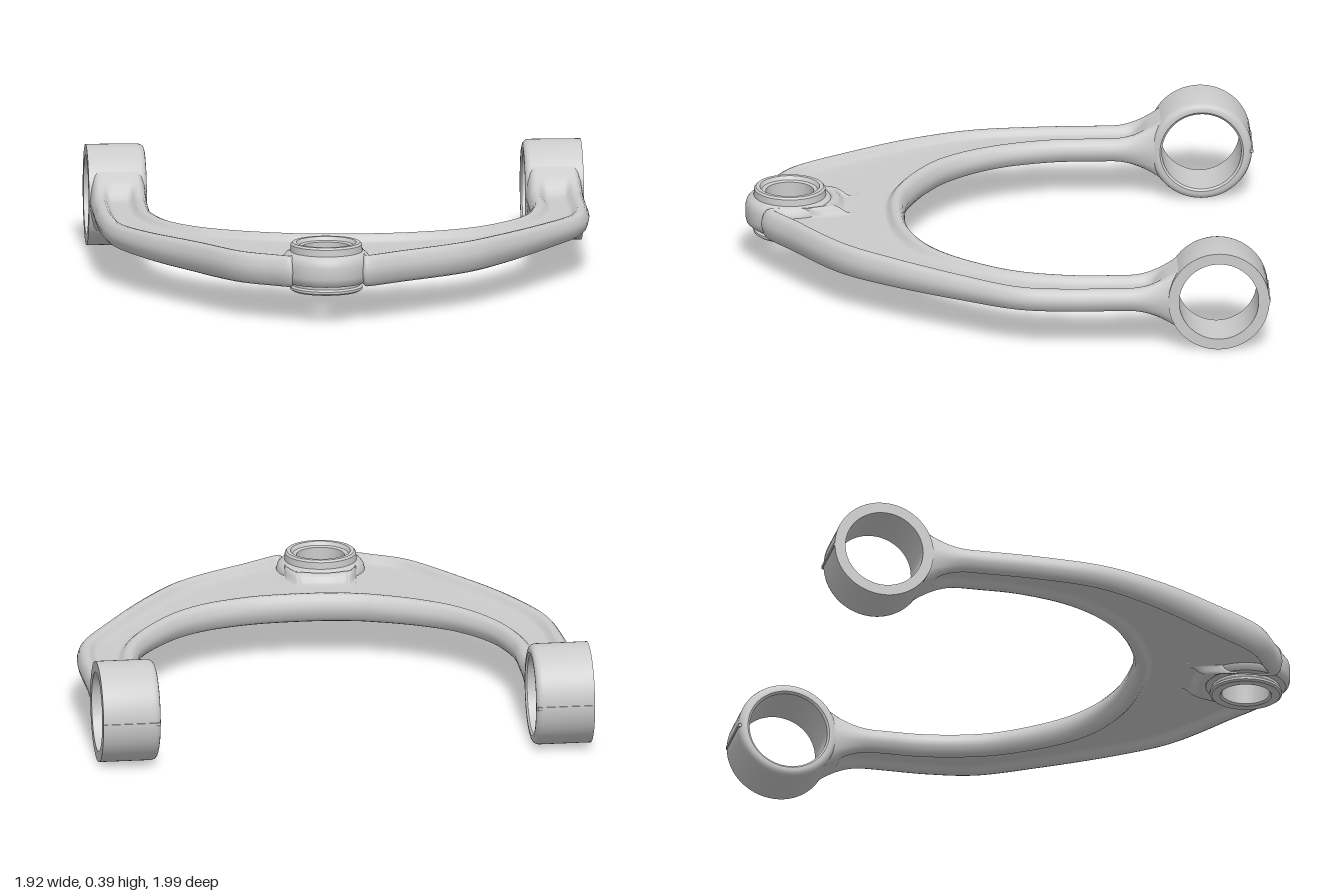
import * as THREE from 'three';
import { toCreasedNormals } from 'three/addons/utils/BufferGeometryUtils.js';

const { smoothstep, lerp } = THREE.MathUtils;
const MID = 0.196;                       // height of the arm's parting plane
const BUSH = { z: -0.8, r: 0.196, bore: 0.154 };
const JOINT = { x: -0.13, z: 0.82 };

// Paired plan points along the U: outer x, outer z, inner x, inner z.
// The outer edge dips around the joint housing so its bore stays open.
const plan = [
  [-0.957, -0.67, -0.735, -0.67], [-0.957, -0.4, -0.738, -0.4],
  [-0.955, -0.18, -0.733, -0.22], [-0.925, 0.08, -0.67, 0],
  [-0.82, 0.32, -0.55, 0.17], [-0.65, 0.58, -0.42, 0.265],
  [-0.48, 0.81, -0.32, 0.315], [-0.36, 0.89, -0.27, 0.335],
  [-0.27, 0.93, -0.23, 0.35], [-0.27, 0.82, -0.2, 0.358],
  [-0.23, 0.72, -0.16, 0.366], [-0.13, 0.68, -0.1, 0.375],
  [-0.03, 0.72, -0.03, 0.378], [0.01, 0.82, 0.03, 0.378],
  [0.01, 0.935, 0.1, 0.375], [0.2, 0.83, 0.2, 0.362],
  [0.45, 0.66, 0.36, 0.31], [0.6, 0.49, 0.48, 0.23],
  [0.8, 0.2, 0.6, 0.09], [0.925, -0.02, 0.68, -0.05],
  [0.955, -0.2, 0.73, -0.25], [0.957, -0.4, 0.735, -0.42],
  [0.957, -0.67, 0.735, -0.67],
];

// Rim section: distance from the edge, height fraction, share of pocket depth
const rim = [
  [0, 0, 0], [0.003, 0.3, 0], [0.009, 0.65, 0], [0.019, 0.9, 0], [0.032, 1, 0],
  [0.046, 1, 0.06], [0.056, 1, 0.35], [0.066, 1, 0.8], [0.077, 1, 1],
];

// Half thickness: thicker at the front, flaring into the bushings at the back
function halfHeight(z) {
  const flare = Math.max(0, (-0.45 - z) / 0.19);
  return 0.045 + 0.016 * smoothstep(z, -0.1, 0.7) + 0.07 * Math.min(flare, 1.1) ** 2;
}

function armGeometry() {
  const curve = (i) => new THREE.CatmullRomCurve3(
    plan.map((p) => new THREE.Vector3(p[i], 0, p[i + 1])));
  const outer = curve(0), inner = curve(2);
  const steps = 264, pos = [], index = [];

  // Distance along the cross line that gives a rim of even width
  const stretch = (c, t, dir) => {
    const tan = c.getTangent(t);
    return 1 / Math.max(0.5, Math.abs(tan.x * dir.z - tan.z * dir.x));
  };

  const half = [
    ...rim.map((r) => [...r, 0]),
    [0, 1, 1, 0.33], [0, 1, 1, 0.67],      // flat web between the rims
    ...[...rim].reverse().map((r) => [...r, 1]),
  ];
  const section = [
    ...half.map((s) => [...s, 1]),
    ...half.slice(1, -1).reverse().map((s) => [...s, -1]),
  ];
  const n = section.length;

  for (let k = 0; k <= steps; k++) {
    const t = k / steps;
    const o = outer.getPoint(t), i = inner.getPoint(t);
    const dir = i.clone().sub(o);
    const width = dir.length();
    dir.normalize();
    const so = stretch(outer, t, dir), si = stretch(inner, t, dir);
    for (const [d, e, p, side, sign] of section) {
      const a = 0.077 * so, b = width - 0.077 * si;
      const along = side === 0 ? d * so : side === 1 ? width - d * si : lerp(a, b, side);
      const x = o.x + dir.x * along;
      let z = o.z + dir.z * along;
      const depth = 0.56 * smoothstep(z, -0.59, -0.53);
      const y = MID + 0.004 * smoothstep(z, 0, 0.6) + sign * halfHeight(z) * (e - p * depth);
      // Keep the arm's ends inside the wall of the bushing rings
      const q = 0.176 ** 2 - (y - MID) ** 2;
      if (q > 0) z = Math.max(z, BUSH.z + Math.sqrt(q));
      pos.push(x, y, z);
    }
  }
  for (let k = 0; k < steps; k++) {
    for (let j = 0; j < n; j++) {
      const a = k * n + j, b = k * n + (j + 1) % n, c = a + n, d = b + n;
      index.push(a, c, b, b, c, d);
    }
  }
  const geo = new THREE.BufferGeometry();
  geo.setAttribute('position', new THREE.Float32BufferAttribute(pos, 3));
  geo.setIndex(index);
  geo.computeVertexNormals();
  return geo;
}

// Closed ring turned from [radius, height] points
function turned(points) {
  const pts = [...points, points[0]].map(([r, y]) => new THREE.Vector2(r, y));
  return toCreasedNormals(new THREE.LatheGeometry(pts, 72), 0.6);
}

export function createModel() {
  const group = new THREE.Group();
  const material = new THREE.MeshStandardMaterial({ color: 0xcccccc, side: THREE.DoubleSide });
  const add = (name, geo, x = 0, y = 0, z = 0) => {
    const mesh = new THREE.Mesh(geo, material);
    mesh.name = name;
    mesh.position.set(x, y, z);
    group.add(mesh);
    return mesh;
  };

  add('controlArm', armGeometry());

  // Joint housing with shoulder, collar and lower flange
  add('jointHousing', turned([
    [0.093, 0.12], [0.1, 0.112], [0.132, 0.112], [0.14, 0.118], [0.14, 0.127],
    [0.132, 0.134], [0.132, 0.144], [0.155, 0.148], [0.167, 0.16], [0.172, 0.18],
    [0.172, 0.225], [0.167, 0.245], [0.157, 0.258], [0.14, 0.266], [0.138, 0.292],
    [0.131, 0.3], [0.116, 0.3], [0.107, 0.286], [0.093, 0.282],
  ]), JOINT.x, 0, JOINT.z);

  // Bushing rings, rounded on the side facing the middle
  const { r, bore } = BUSH;
  const ring = turned([
    [bore, -0.112], [r, -0.112], [r, 0.09], [r - 0.004, 0.103], [r - 0.012, 0.111],
    [r - 0.022, 0.114], [bore + 0.008, 0.114], [bore, 0.107],
  ]);
  for (const side of [-1, 1]) {
    const name = side > 0 ? 'left' : 'right';
    const bushing = add(name + 'BushingRing', ring, side * 0.848, MID, BUSH.z);
    bushing.rotation.z = side * Math.PI / 2;
    // Parting ridge along the back of the ring
    add(name + 'PartingRidge', new THREE.BoxGeometry(0.222, 0.012, 0.012),
      side * 0.848, MID, BUSH.z - r + 0.002);
  }
  return group;
}
